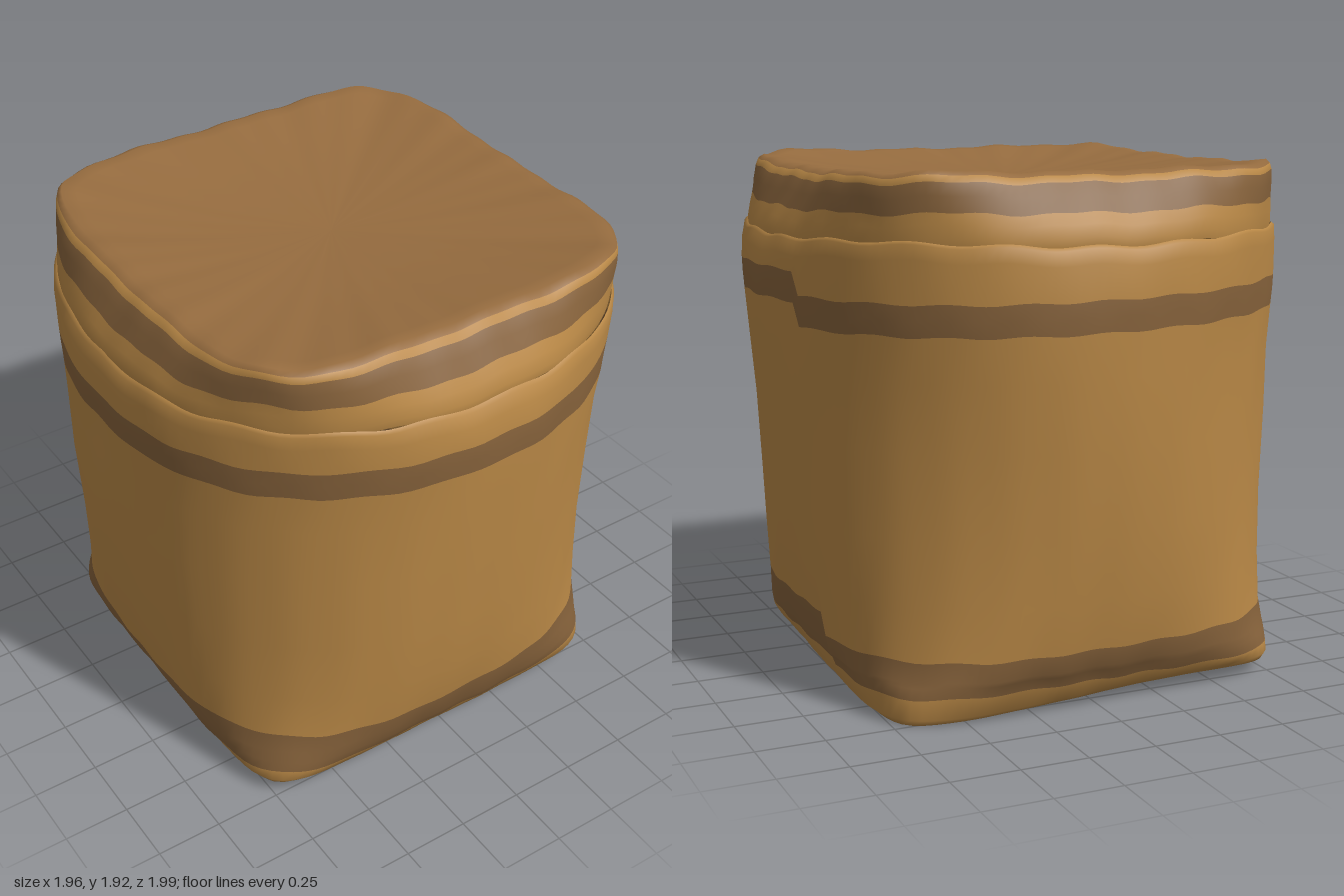
import * as THREE from 'three';

const COLUMNS = 160;
const SEAM = 1.91; // angle where the woven bands step down

// Radius of a rounded square: half width h, corner radius d
function outline(phi, h, d) {
  const n = Math.LN2 / Math.log(Math.max((h * Math.SQRT2) / d, 1.03));
  const c = Math.abs(Math.cos(phi)), s = Math.abs(Math.sin(phi));
  return h / Math.pow(Math.pow(c, n) + Math.pow(s, n), 1 / n);
}

// Hand-made unevenness
function lump(phi, y) {
  return 0.003 * Math.sin(5 * phi + 5 * y) + 0.0015 * Math.sin(13 * phi - 9 * y)
    + 0.001 * Math.sin(29 * phi + 23 * y);
}

// Rings: [y, half width, corner radius, material index of the strip above]
function loft(rings, materials, warpY) {
  const pos = [], index = [], geo = new THREE.BufferGeometry();
  rings.forEach(([y, h, d]) => {
    const lean = 0.014 * (1 - THREE.MathUtils.smoothstep(y, 0.9, 1.4));
    for (let j = 0; j < COLUMNS; j++) {
      const phi = SEAM + (j / COLUMNS) * Math.PI * 2;
      const r = outline(phi, h, d) * (1 + lump(phi, y));
      const x = r * Math.sin(phi), z = r * Math.cos(phi) * 1.015;
      pos.push(x - lean, warpY(y, x, z, phi, 1 - j / COLUMNS), z);
    }
  });
  for (let i = 0; i < rings.length - 1; i++) {
    geo.addGroup(index.length, COLUMNS * 6, rings[i][3]);
    for (let j = 0; j < COLUMNS; j++) {
      const k = (j + 1) % COLUMNS;
      const a = i * COLUMNS + j, b = i * COLUMNS + k;
      index.push(a, b, b + COLUMNS, a, b + COLUMNS, a + COLUMNS);
    }
  }
  geo.setAttribute('position', new THREE.Float32BufferAttribute(pos, 3));
  geo.setIndex(index);
  geo.computeVertexNormals();
  return new THREE.Mesh(geo, materials);
}

function flat(name, color) {
  const material = new THREE.MeshStandardMaterial({ color, side: THREE.DoubleSide });
  material.name = name;
  return material;
}

export function createModel() {
  const materials = [flat('straw', 0xb98846), flat('brownBand', 0x86623b), flat('lidBrown', 0x966c3f)];
  const group = new THREE.Group();
  group.name = 'wovenBasket';

  // Body: square base swelling to a round rim, with two woven bands
  const body = loft([
    [0.075, 0.001, 0.001, 0], [0.07, 0.4, 0.52, 0], [0.055, 0.68, 0.9, 0],
    [0.045, 0.765, 1.015, 0], [0.07, 0.8, 1.03, 0], [0.11, 0.825, 1.025, 1],
    [0.15, 0.843, 1.015, 1], [0.2, 0.86, 1.005, 1], [0.27, 0.88, 0.99, 0],
    [0.45, 0.91, 0.98, 0], [0.7, 0.938, 0.975, 0], [1.0, 0.96, 0.982, 0],
    [1.25, 0.973, 0.993, 0], [1.41, 0.978, 1.008, 1], [1.465, 0.979, 1.012, 1],
    [1.52, 0.978, 1.015, 0], [1.6, 0.968, 1.02, 0], [1.65, 0.95, 1.02, 0],
    [1.66, 0.935, 1.01, 0],
  ], materials, (y, x, z, phi, u) => {
    if (y < 0.1) { // base dips at one back corner
      const t = THREE.MathUtils.smoothstep(x - z, 0.3, 1.4);
      return Math.max(0, y - 0.046 * t);
    }
    if (y < 1.58) return y + (0.032 - 0.085 * u) * (y < 0.18 ? 0.25 : 1) + 0.004 * Math.sin(23 * phi);
    return y + 0.02 * Math.pow(Math.sin(2 * phi), 2) + 0.006 * Math.sin(19 * phi);
  });
  body.name = 'basketBody';
  group.add(body);

  // Lid: tapering square cap with one band and a dished brown top
  const lid = loft([
    [1.64, 0.935, 1.0, 0], [1.67, 0.938, 1.005, 0], [1.715, 0.92, 1.008, 0],
    [1.755, 0.897, 1.01, 1], [1.81, 0.868, 1.015, 1], [1.855, 0.842, 1.015, 0],
    [1.878, 0.82, 1.01, 2], [1.892, 0.79, 0.995, 2], [1.89, 0.74, 0.94, 2],
    [1.868, 0.58, 0.75, 2], [1.845, 0.33, 0.41, 2], [1.835, 0.001, 0.001, 2],
  ], materials, (y, x, z, phi) => {
    const edge = Math.min(1, Math.hypot(x, z)); // ripples fade towards the middle
    return y + edge ** 3 * (0.008 - 0.01 * Math.cos(2 * phi) * -1 + 0.01 * Math.sin(2 * phi) ** 2
      + 0.006 * Math.sin(13 * phi) + 0.004 * Math.sin(29 * phi));
  });
  lid.name = 'basketLid';
  group.add(lid);

  return group;
}
